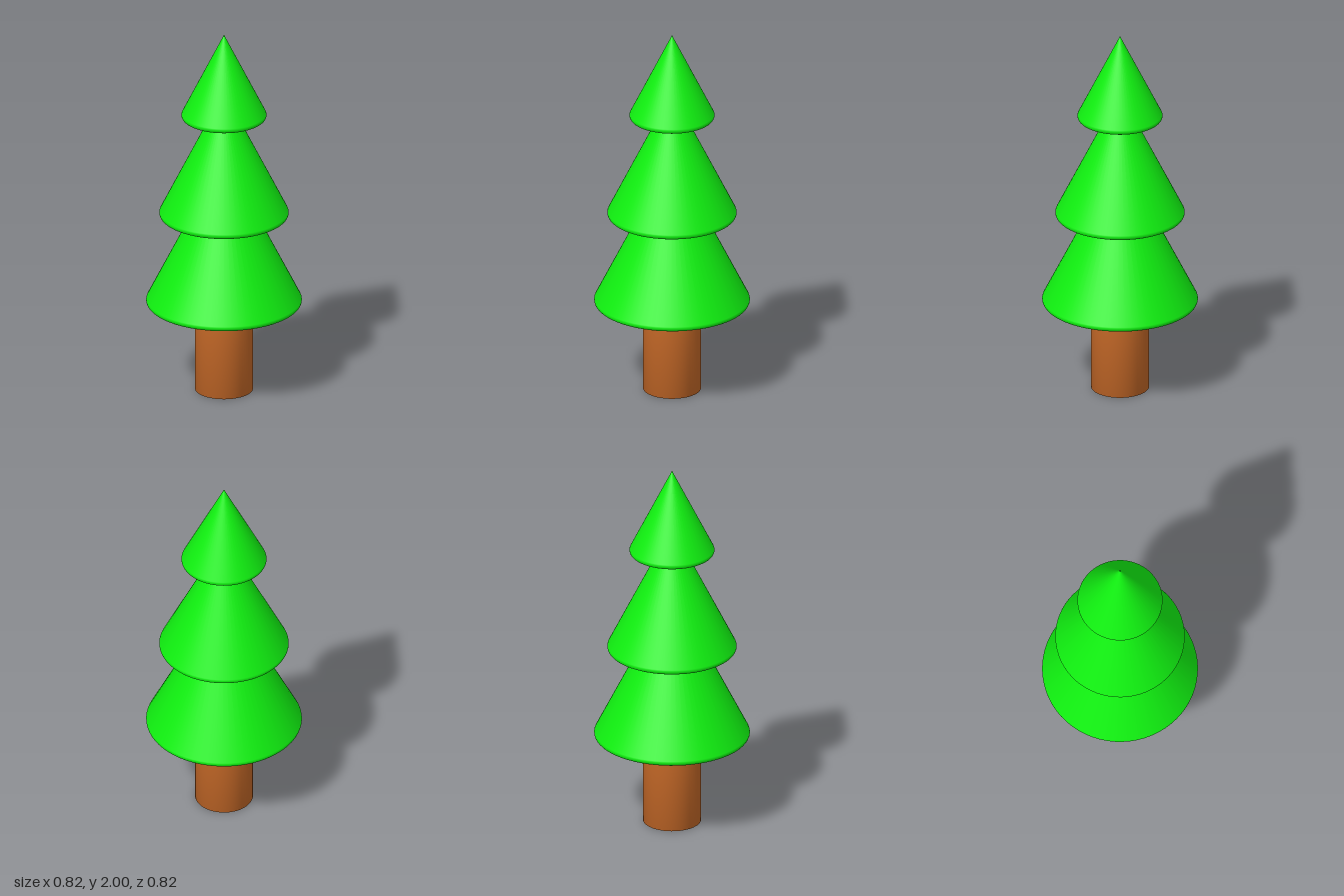
import * as THREE from 'three';

const SEGMENTS = 64;

function lathe(name, profile, material) {
  const points = profile.map(([r, y]) => new THREE.Vector2(r, y));
  const mesh = new THREE.Mesh(new THREE.LatheGeometry(points, SEGMENTS), material);
  mesh.name = name;
  return mesh;
}

// Cone of foliage with a flat underside and a softly rounded rim
function foliage(name, radius, base, apex, material) {
  const group = new THREE.Group();
  group.name = name;
  const c = 0.02; // rim rounding radius
  const slope = Math.atan2(1, 2); // angle of the cone side's normal
  const profile = [];
  for (let i = 0; i <= 6; i++) {
    const a = THREE.MathUtils.lerp(-Math.PI / 2, slope, i / 6);
    profile.push([radius - c + c * Math.cos(a), base + c + c * Math.sin(a)]);
  }
  profile.push([0, apex]);
  const underside = new THREE.Mesh(new THREE.CircleGeometry(radius - c, SEGMENTS), material);
  underside.name = name + 'Underside';
  underside.rotation.x = Math.PI / 2;
  underside.position.y = base;
  group.add(lathe(name + 'Cone', profile, material), underside);
  return group;
}

export function createModel() {
  const tree = new THREE.Group();
  tree.name = 'tree';
  const green = new THREE.MeshStandardMaterial({ color: 0x10f010 });
  const brown = new THREE.MeshStandardMaterial({ color: 0xc86a28 });

  // Trunk, shaded smoothly around its bottom edge
  tree.add(lathe('trunk', [[0, 0], [0.152, 0], [0.152, 0.5]], brown));

  // Three overlapping tiers
  tree.add(
    foliage('lowerFoliage', 0.408, 0.483, 1.32, green),
    foliage('middleFoliage', 0.339, 0.976, 1.68, green),
    foliage('topFoliage', 0.223, 1.527, 2, green),
  );
  return tree;
}
